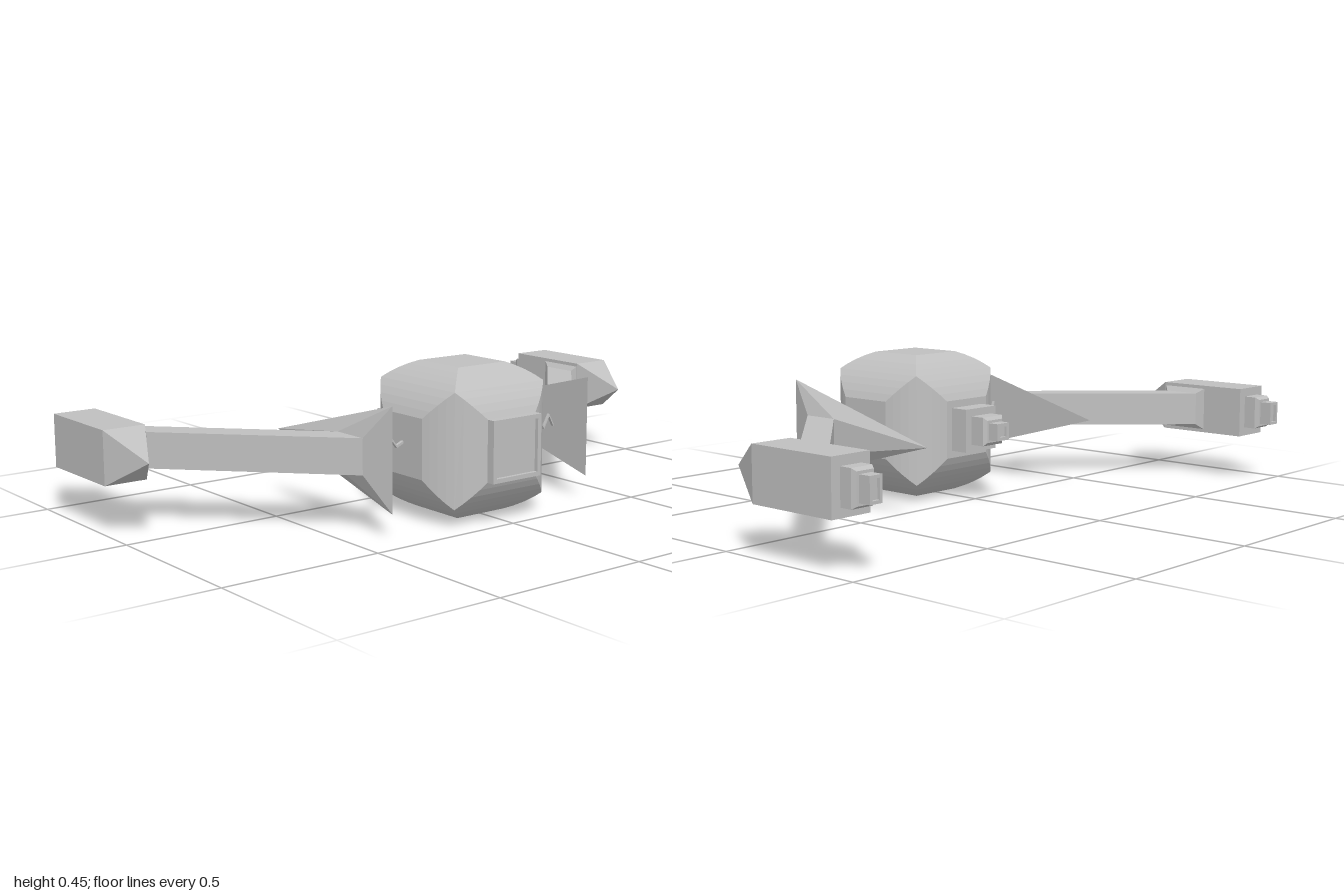
import * as THREE from 'three';
import { ConvexGeometry } from 'three/addons/geometries/ConvexGeometry.js';

const CY = 0.228; // common centre height
const grey = new THREE.MeshStandardMaterial({ color: 0xbfbfbf });
grey.name = 'hullGrey';

function add(parent, name, geometry) {
  const mesh = new THREE.Mesh(geometry, grey);
  mesh.name = name;
  parent.add(mesh);
  return mesh;
}

// Convex solid from corner points
const hull = (points) => new ConvexGeometry(points.map((p) => new THREE.Vector3(...p)));

// Four corners of a rectangle facing z, and of one facing x
const rectZ = (x, z, hw, hh) =>
  [[-1, -1], [1, -1], [1, 1], [-1, 1]].map(([a, b]) => [x + a * hw, CY + b * hh, z]);
const rectX = (x, z, hd, hh) =>
  [[-1, -1], [1, -1], [1, 1], [-1, 1]].map(([a, b]) => [x, CY + b * hh, z + a * hd]);

// Straight or tapering block running along z
const block = (x, z0, z1, w0, h0, w1 = w0, h1 = h0) =>
  hull([...rectZ(x, z0, w0, h0), ...rectZ(x, z1, w1, h1)]);

// Rectangular ring extruded along z
function ring(hw, hh, wall, depth) {
  const rect = (Type, a, b) =>
    new Type([[-a, -b], [a, -b], [a, b], [-a, b]].map((p) => new THREE.Vector2(...p)));
  const shape = rect(THREE.Shape, hw, hh);
  shape.holes.push(rect(THREE.Path, hw - wall, hh - wall));
  return new THREE.ExtrudeGeometry(shape, { depth, bevelEnabled: false });
}

// Open square exhaust: solid root with a hollow end
function exhaust(parent, x, z0, z1, hw, hh) {
  add(parent, 'exhaustRoot', block(x, z0, z1 + 0.01, hw, hh));
  add(parent, 'exhaustRim', ring(hw, hh, hw * 0.4, 0.01)).position.set(x, CY, z1);
}

// Cabin: three crossed cylinders trimmed by a cube, given by its corner points
function cabinGeometry() {
  const R = 0.2445, steps = 4, start = Math.asin(0.091 / R);
  const points = [];
  for (let i = 0; i <= steps; i++) {
    const a = start + (Math.PI / 4 - start) * (i / steps);
    const t = R * Math.sin(a), h = R * Math.cos(a);
    for (let axis = 0; axis < (i === steps ? 1 : 3); axis++) {
      for (let k = 0; k < 8; k++) {
        const p = [t, t, t];
        p[axis] = h;
        points.push(p.map((v, j) => ((k >> j) & 1 ? v : -v)));
      }
    }
  }
  return hull(points);
}

// Jagged energy bolt as a thin extruded zigzag
function bolt(points) {
  const half = 0.004;
  const outline = [
    ...points.map(([x, y]) => new THREE.Vector2(x, y - half)),
    ...points.slice().reverse().map(([x, y]) => new THREE.Vector2(x, y + half)),
  ];
  return new THREE.ExtrudeGeometry(new THREE.Shape(outline), { depth: 0.01, bevelEnabled: false });
}

// Panel, arm and pod on one side (s = 1 left, -1 right)
function buildSide(s) {
  const side = new THREE.Group();
  side.name = s > 0 ? 'leftSide' : 'rightSide';

  // Triangular panel rising to a square arm root
  add(side, 'panel', hull([
    [s * 0.382, CY + 0.156, 0.415], [s * 0.382, CY - 0.156, 0.415], [s * 0.382, CY, -0.16],
    ...rectX(s * 0.417, 0.262, 0.06, 0.054),
  ]));

  // Swept arm and its flared joint
  add(side, 'arm', hull([
    ...rectX(s * 0.417, 0.262, 0.06, 0.054), ...rectX(s * 0.853, -0.195, 0.06, 0.054),
  ]));
  add(side, 'armJoint', hull([
    ...rectX(s * 0.853, -0.195, 0.06, 0.054), ...rectX(s * 0.866, -0.2, 0.08, 0.07),
  ]));

  // Pod with pyramid nose and stepped exhaust
  const px = s * 0.933;
  add(side, 'pod', hull([
    ...rectZ(px, -0.425, 0.067, 0.081), ...rectZ(px, -0.117, 0.067, 0.081), [px, CY, 0.022],
  ]));
  add(side, 'podStep', block(px, -0.425, -0.465, 0.037, 0.053));
  add(side, 'podTaper', block(px, -0.465, -0.478, 0.037, 0.053, 0.03, 0.045));
  exhaust(side, px, -0.478, -0.517, 0.022, 0.037);
  return side;
}

export function createModel() {
  const model = new THREE.Group();
  model.name = 'podCraft';

  add(model, 'cabin', cabinGeometry()).position.set(0, CY, 0.263);

  // Front window with raised frame
  add(model, 'windowFrame', ring(0.093, 0.093, 0.013, 0.026)).position.set(0, CY, 0.489);
  add(model, 'windowPane', block(0, 0.485, 0.503, 0.082, 0.082));

  // Stepped rear engine
  add(model, 'engineBase', block(0, 0.045, -0.025, 0.069, 0.068));
  add(model, 'engineStep', block(0, -0.025, -0.074, 0.045, 0.045));
  add(model, 'engineTaper', block(0, -0.074, -0.083, 0.045, 0.045, 0.035, 0.035));
  exhaust(model, 0, -0.083, -0.118, 0.027, 0.027);

  for (const s of [1, -1]) model.add(buildSide(s));

  // Energy bolts between cabin and panels
  add(model, 'leftBolt', bolt([
    [0.222, 0.235], [0.232, 0.246], [0.25, 0.195], [0.277, 0.264], [0.3, 0.191],
    [0.32, 0.244], [0.342, 0.205], [0.364, 0.244], [0.385, 0.205],
  ])).position.z = 0.257;
  add(model, 'rightBolt', bolt([
    [-0.385, 0.258], [-0.364, 0.211], [-0.33, 0.244], [-0.3, 0.23],
    [-0.273, 0.255], [-0.25, 0.225], [-0.222, 0.238],
  ])).position.z = 0.257;

  return model;
}
